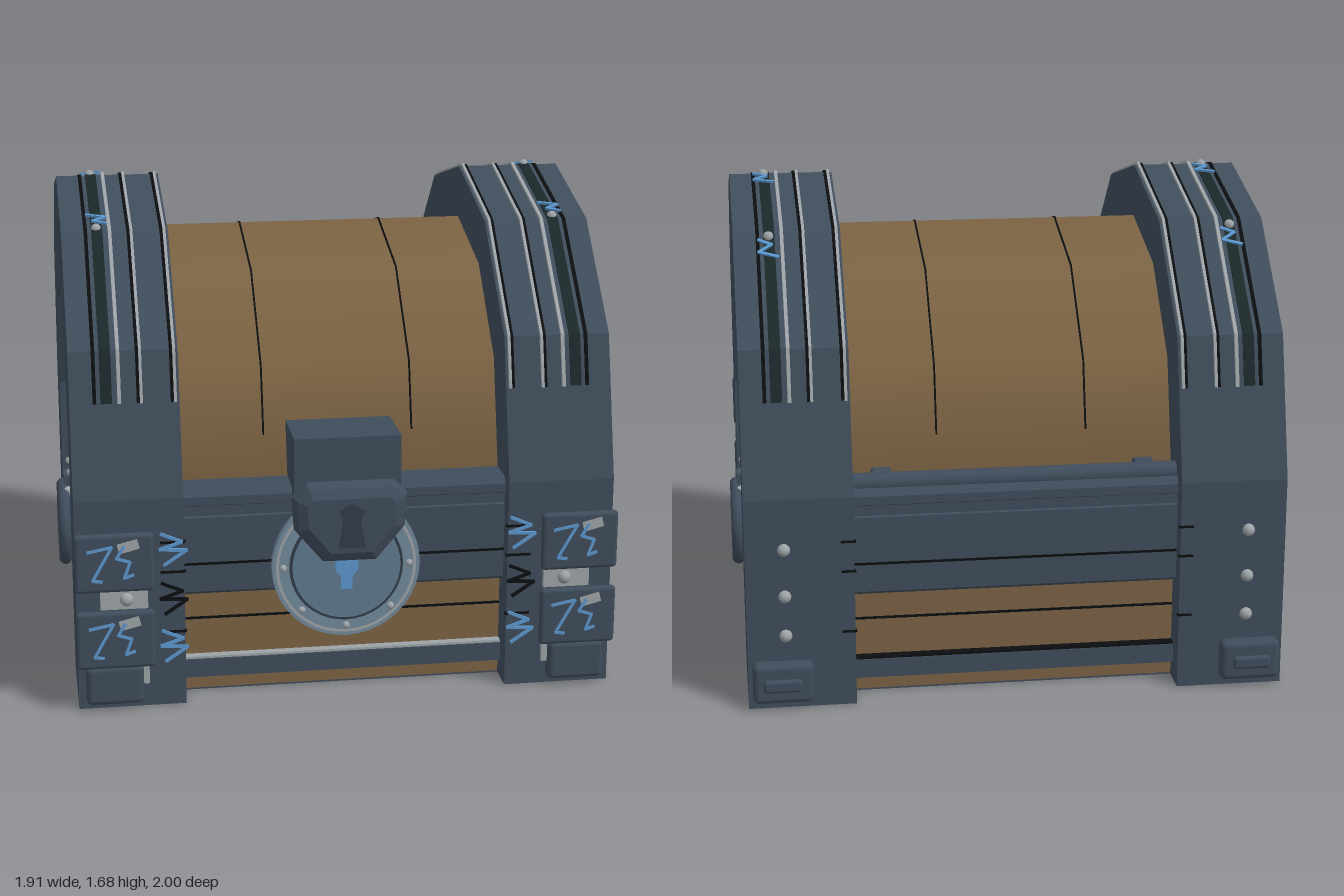
import * as THREE from 'three';
import { mergeGeometries } from 'three/addons/utils/BufferGeometryUtils.js';
import { RoundedBoxGeometry } from 'three/addons/geometries/RoundedBoxGeometry.js';

const mat = (name, color) => {
  const m = new THREE.MeshStandardMaterial({ color });
  m.name = name;
  return m;
};

export function createModel() {
  const root = new THREE.Group();
  root.name = 'chest';
  const slate = mat('slate metal', 0x3f4c5b), wood = mat('wood', 0x7b6243), black = mat('black', 0x0b0d0f);
  const darkGreen = mat('dark channel', 0x1c2729), silver = mat('silver', 0x9da3a7), darkSlate = mat('dark slate', 0x323c47);
  const glow = mat('blue', 0x5a96cc), paleBlue = mat('pale blue', 0x72899b), steelBlue = mat('steel blue', 0x5f7a90);

  const add = (name, geo, m, x = 0, y = 0, z = 0, parent = root) => {
    const mesh = new THREE.Mesh(geo, m);
    mesh.name = name;
    mesh.position.set(x, y, z);
    parent.add(mesh);
    return mesh;
  };
  // Box given by its limits
  const block = (name, m, x0, x1, y0, y1, z0, z1) =>
    add(name, new THREE.BoxGeometry(x1 - x0, y1 - y0, z1 - z0), m, (x0 + x1) / 2, (y0 + y1) / 2, (z0 + z1) / 2);
  const rounded = (name, m, x0, x1, y0, y1, z0, z1, r) =>
    add(name, new RoundedBoxGeometry(x1 - x0, y1 - y0, z1 - z0, 2, r), m, (x0 + x1) / 2, (y0 + y1) / 2, (z0 + z1) / 2);
  const outline = (pts) => new THREE.Shape(pts.map(([x, y]) => new THREE.Vector2(x, y)));
  // Extrudes a [z, y] outline along x
  const extrudeX = (pts, x0, x1) =>
    new THREE.ExtrudeGeometry(outline(pts.map(([z, y]) => [-z, y])), { depth: x1 - x0, bevelEnabled: false })
      .rotateY(Math.PI / 2).translate(x0, 0, 0);
  // Flat strip following a [z, y] path
  const strap = (pts, w, t) => mergeGeometries(pts.slice(1).map(([z, y], i) => {
    const dz = z - pts[i][0], dy = y - pts[i][1];
    return new THREE.BoxGeometry(w, t, Math.hypot(dz, dy) + t * 0.3)
      .rotateX(-Math.atan2(dy, dz)).translate(0, (y + pts[i][1]) / 2, (z + pts[i][0]) / 2);
  }));
  // Thin zigzag in the xy plane
  const zigzag = (pts, w = 0.01) => mergeGeometries(pts.slice(1).map(([x, y], i) => {
    const dx = x - pts[i][0], dy = y - pts[i][1];
    return new THREE.BoxGeometry(Math.hypot(dx, dy) + w * 0.5, w, 0.008)
      .rotateZ(Math.atan2(dy, dx)).translate((x + pts[i][0]) / 2, (y + pts[i][1]) / 2, 0);
  }));
  const rivet = (x, y, z, r = 0.022, parent = root) => add('rivet', new THREE.SphereGeometry(r, 12, 8), silver, x, y, z, parent);

  // Wooden body and barrel lid
  block('body', wood, -0.79, 0.79, 0.006, 0.74, -0.83, 0.79);
  block('basePlate', slate, -0.79, 0.79, 0, 0.006, -0.83, 0.79);
  add('lid', new THREE.CylinderGeometry(0.74, 0.74, 1.58, 6, 1, false, 0, Math.PI).rotateZ(Math.PI / 2), wood, 0, 0.738, -0.02);
  const lidPath = [[0.683, 0.88], [0.621, 1.109], [0.35, 1.379], [-0.02, 1.479], [-0.39, 1.379], [-0.661, 1.109], [-0.723, 0.88]];
  for (const x of [-0.26, 0.255]) add('plankSeam', strap(lidPath, 0.006, 0.007), black, x);

  // Front and back bands, rails and seams
  for (const [s, wz] of [[1, 0.79], [-1, 0.83]]) {
    const span = (name, m, y0, y1, d0, d1) => {
      const a = s * (wz + d0), b = s * (wz + d1);
      block(name, m, -0.57, 0.57, y0, y1, Math.min(a, b), Math.max(a, b));
    };
    const profile = [[-0.03, 0.37], [0.04, 0.37], [0.05, 0.38], [0.05, 0.645], [0.045, 0.65], [0.045, 0.685], [0.055, 0.69], [0.055, 0.72], [0.035, 0.742], [-0.07, 0.742]]
      .map(([d, y]) => [s * (wz + d), y]);
    add('band', extrudeX(profile, -0.57, 0.57), slate);
    span('bandSeam', black, 0.477, 0.485, 0.04, 0.053);
    span('woodSeam', black, 0.262, 0.27, -0.01, 0.004);
    span('lowerRail', slate, 0.06, 0.126, -0.02, 0.035);
    span('railTrim', s > 0 ? silver : black, 0.126, 0.134, -0.02, 0.03);
  }
  // Hinge bar along the back
  add('hingeBar', new THREE.CylinderGeometry(0.035, 0.035, 1.12, 12).rotateZ(Math.PI / 2), slate, 0, 0.75, -0.825);
  for (const x of [-0.45, 0.45]) rounded('hingeKnuckle', slate, x - 0.035, x + 0.035, 0.735, 0.785, -0.82, -0.76, 0.01);

  // Arch outlines as [z, y]
  const outer = [[0.9, 0.74], [0.77, 1.22], [0.43, 1.55], [-0.02, 1.665], [-0.47, 1.55], [-0.81, 1.22], [-0.94, 0.74]];
  const inner = [[-0.57, 0.74], [-0.41, 1.13], [-0.02, 1.29], [0.37, 1.13], [0.53, 0.74]];
  const path = [[0.816, 1.05], ...outer.slice(1, 6), [-0.856, 1.05]].map(([z, y]) => [z + (z + 0.02) * 0.003, y + 0.002]);
  const squiggle = [[-0.03, 0.05], [0.035, 0.03], [-0.01, 0.0], [0.035, -0.02]];
  const plateMark = [[-0.09, 0.045], [-0.01, 0.06], [-0.05, -0.01], [-0.075, -0.055], [-0.045, -0.06]];
  const plateMark2 = [[0.03, 0.06], [0.005, 0.02], [0.05, 0.005], [0.03, -0.05], [0.06, -0.04]];
  const spark = [[-0.04, 0.055], [0.03, 0.025], [-0.045, 0.0], [0.045, -0.005], [-0.03, -0.055]];

  for (const s of [-1, 1]) {
    const X = (a, b) => (s > 0 ? [a, b] : [-b, -a]);
    // Arch, legs and side panel trim
    add('arch', extrudeX([...outer, ...inner], ...X(0.555, 0.92)), slate);
    block('frontLeg', slate, ...X(0.555, 0.92), 0, 0.74, 0.53, 0.9);
    block('backLeg', slate, ...X(0.555, 0.92), 0, 0.74, -0.94, -0.57);
    block('sideBand', slate, ...X(0.77, 0.85), 0.375, 0.74, -0.58, 0.54);
    block('sideRail', slate, ...X(0.77, 0.835), 0.06, 0.126, -0.58, 0.54);
    block('sideRailTrim', silver, ...X(0.77, 0.83), 0.126, 0.134, -0.58, 0.54);

    // Strips over the arch
    for (const [x, w, t, m] of [[0.798, 0.038, 0.005, darkGreen], [0.837, 0.012, 0.005, black], [0.755, 0.012, 0.016, silver],
      [0.682, 0.01, 0.016, silver], [0.692, 0.01, 0.01, black], [0.569, 0.01, 0.016, silver], [0.579, 0.01, 0.01, black]])
      add('archStrip', strap(path, w, t), m, s * x);
    for (const [z, y, tilt] of [[0.37, 1.567, 0.25], [-0.07, 1.655, -0.25], [-0.52, 1.505, -0.77]]) {
      const g = new THREE.Group();
      g.name = 'archSpark';
      g.position.set(s * 0.8, y, z);
      g.rotation.x = -Math.PI / 2 + tilt;
      add('sparkLine', zigzag(squiggle), glow, 0, 0, 0.01, g);
      rivet(0, -0.04, 0, 0.018, g);
      root.add(g);
    }

    // Stacked plates on the front leg
    for (const y of [0.541, 0.268]) {
      rounded('legPlate', slate, ...X(0.66, 0.925), y - 0.102, y + 0.102, 0.935, 0.965, 0.014);
      block('plateTab', silver, ...X(0.68, 0.84), y - 0.18, y - 0.09, 0.898, 0.918);
      rivet(s * 0.752, y - 0.145, 0.915, 0.024);
      add('plateMark', zigzag(plateMark), glow, s * 0.79, y, 0.965);
      add('plateMark', zigzag(plateMark2), glow, s * 0.79, y, 0.965);
      add('platePatch', new THREE.BoxGeometry(0.07, 0.035, 0.006).rotateZ(0.25), silver, s * 0.79 + 0.045, y + 0.06, 0.963);
    }
    // Sparks and cracks beside the plates
    for (const [y, m] of [[0.575, glow], [0.4, black], [0.23, glow]])
      add('sideSpark', zigzag(spark), m, s * 0.595, y, 0.94);
    for (const y of [0.585, 0.48, 0.265]) {
      block('crackLine', black, ...X(0.55, 0.635), y - 0.004, y + 0.004, 0.89, 0.904);
      block('crackLine', black, ...X(0.55, 0.6), y - 0.004, y + 0.004, -0.943, -0.93);
    }
    // Foot badges and back rivets
    rounded('frontFootBadge', slate, ...X(0.7, 0.895), 0.025, 0.165, 0.87, 0.945, 0.02);
    rounded('backFootBadge', slate, ...X(0.7, 0.905), 0.03, 0.17, -0.985, -0.92, 0.02);
    rounded('backBadgeBar', slate, ...X(0.74, 0.87), 0.075, 0.12, -1, -0.97, 0.012);
    for (const x of [0.76, 0.85]) rivet(s * x, 0.098, -0.982, 0.016);
    for (const y of [0.565, 0.4, 0.26]) rivet(s * 0.79, y, -0.942);
    rivet(s * 0.9, 0.565, 0.9, 0.018);

    // Ring handle
    rounded('handlePlate', slate, ...X(0.83, 0.9), 0.465, 0.61, -0.135, 0.095, 0.02);
    block('handleRecess', darkGreen, ...X(0.89, 0.905), 0.485, 0.585, -0.105, 0.065);
    rounded('handleClasp', silver, ...X(0.89, 0.945), 0.46, 0.505, -0.09, 0.05, 0.012);
    block('handleHook', slate, ...X(0.89, 0.93), 0.5, 0.545, -0.06, 0.02);
    for (const z of [-0.09, 0.05]) rivet(s * 0.905, 0.57, z, 0.014);
    add('handleRing', new THREE.TorusGeometry(0.14, 0.023, 10, 32).rotateY(Math.PI / 2), slate, s * 0.932, 0.355, -0.02);
  }

  // Lock disc
  const disc = (name, m, r, z0, z1) =>
    add(name, new THREE.CylinderGeometry(r, r, z1 - z0, 40).rotateX(Math.PI / 2), m, 0, 0.46, (z0 + z1) / 2);
  disc('lockDisc', paleBlue, 0.255, 0.8, 0.87);
  add('lockDiscRim', new THREE.RingGeometry(0.232, 0.242, 40), silver, 0, 0.46, 0.873);
  disc('lockDiscGroove', darkSlate, 0.196, 0.86, 0.874);
  disc('lockDiscFace', steelBlue, 0.186, 0.87, 0.879);
  for (let i = 0; i < 8; i++) {
    const a = i * Math.PI / 4;
    rivet(Math.cos(a) * 0.217, 0.46 + Math.sin(a) * 0.217, 0.872, 0.013);
  }
  // Keyhole on the disc
  const keyhole = outline([[-0.02, 0.38], [0.02, 0.38], [0.02, 0.425], [0.04, 0.45], [0.04, 0.49], [-0.04, 0.49], [-0.04, 0.45], [-0.02, 0.425]]);
  add('discKeyhole', new THREE.ExtrudeGeometry(keyhole, { depth: 0.008, bevelEnabled: false }), glow, 0, 0, 0.877);

  // Lock hasp and faceted lock face, flat at the back
  block('hasp', slate, -0.182, 0.182, 0.66, 0.925, 0.66, 0.895);
  const face = outline([[-0.07, 0.55], [0.07, 0.55], [0.145, 0.64], [0.15, 0.72], [0.13, 0.74], [-0.13, 0.74], [-0.15, 0.72], [-0.145, 0.64]]);
  const dome = new THREE.ExtrudeGeometry(face, { depth: 0.002, bevelThickness: 0.06, bevelSize: 0.045, bevelSegments: 2 });
  const p = dome.attributes.position;
  for (let i = 0; i < p.count; i++) p.setZ(i, Math.max(p.getZ(i), 0));
  dome.computeVertexNormals();
  add('lockFace', dome, slate, 0, 0, 0.93);
  const slot = outline([[-0.045, 0.57], [0.045, 0.57], [0.03, 0.66], [0.042, 0.7], [0, 0.725], [-0.042, 0.7], [-0.03, 0.66]]);
  add('lockKeyhole', new THREE.ExtrudeGeometry(slot, { depth: 0.009, bevelEnabled: false }), darkSlate, 0, 0, 0.991);

  return root;
}
